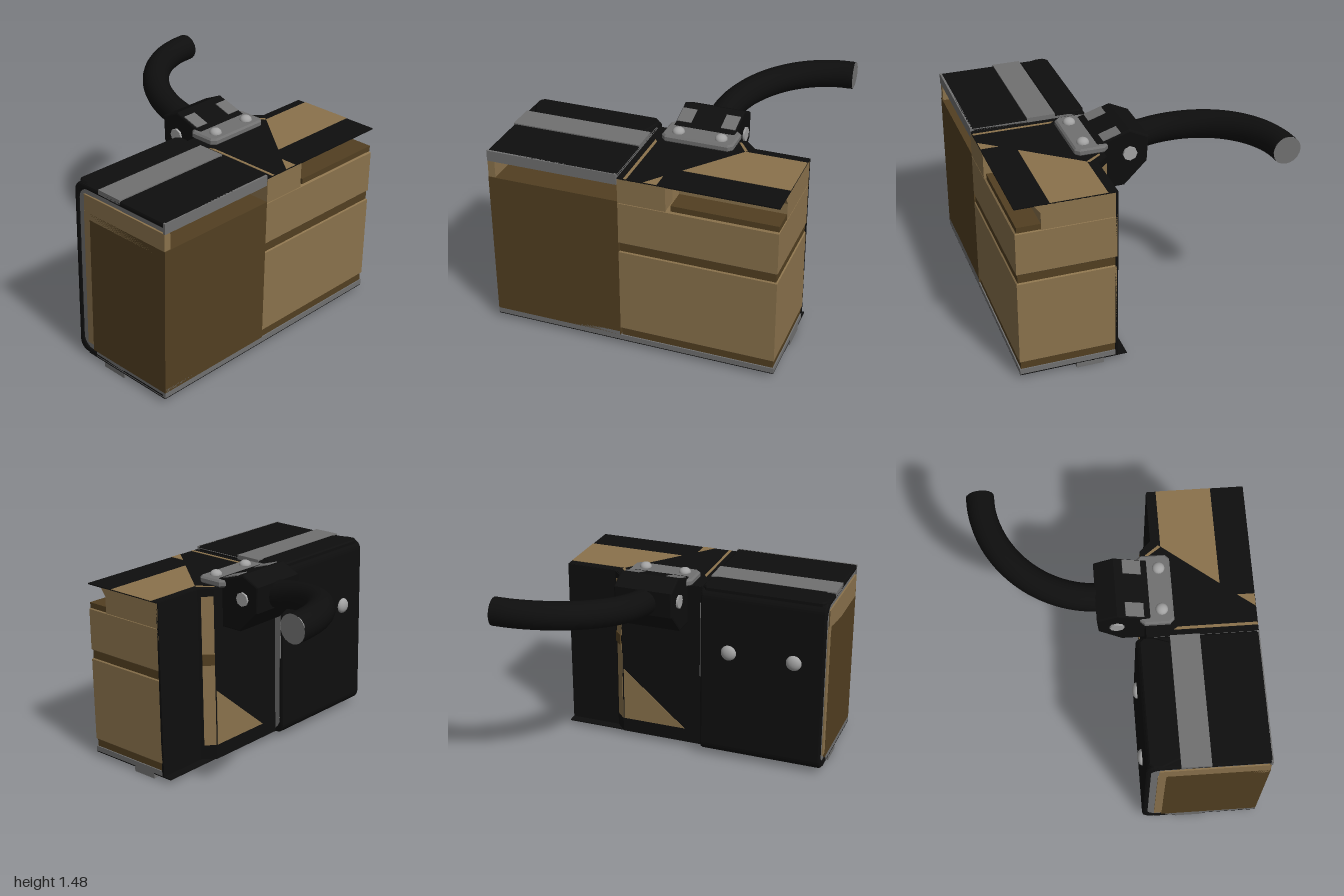
import * as THREE from 'three';

const mat = (name, color, side = THREE.FrontSide) => {
  const m = new THREE.MeshStandardMaterial({ color, side });
  m.name = name;
  return m;
};

export function createModel() {
  const root = new THREE.Group();
  const tan = mat('tan', 0x8a724c);
  const brown = mat('dark brown', 0x523f21);
  const black = mat('black', 0x0e0e0e);
  const grey = mat('grey', 0x707070);
  const light = mat('light metal', 0xa2a2a2);

  const add = (name, geo, material) => {
    const m = new THREE.Mesh(geo, material);
    m.name = name;
    root.add(m);
    return m;
  };
  // box given by its limits
  const box = (name, m, x0, x1, y0, y1, z0, z1) =>
    add(name, new THREE.BoxGeometry(x1 - x0, y1 - y0, z1 - z0), m)
      .position.set((x0 + x1) / 2, (y0 + y1) / 2, (z0 + z1) / 2);
  // footprint [x, z] raised from y0 to y1
  const plan = (name, m, pts, y0, y1, bevel = 0) => {
    const s = new THREE.Shape(pts.map(([x, z]) => new THREE.Vector2(x, -z)));
    const g = new THREE.ExtrudeGeometry(s, {
      depth: y1 - y0 - 2 * bevel, bevelEnabled: bevel > 0, bevelSize: bevel,
      bevelThickness: bevel, bevelOffset: -bevel, bevelSegments: 1,
    });
    g.rotateX(-Math.PI / 2).translate(0, y0 + bevel, 0);
    return add(name, g, m);
  };
  // side profile [z, y] swept from x0 to x1
  const side = (name, m, pts, x0, x1, bevel = 0) => {
    const s = new THREE.Shape(pts.map(([z, y]) => new THREE.Vector2(-z, y)));
    const g = new THREE.ExtrudeGeometry(s, {
      depth: x1 - x0 - 2 * bevel, bevelEnabled: bevel > 0, bevelSize: bevel,
      bevelThickness: bevel, bevelOffset: -bevel, bevelSegments: 2,
    });
    g.rotateY(Math.PI / 2).translate(x0 + bevel, 0, 0);
    return add(name, g, m);
  };
  // rounded C outline, open toward +z
  const cOutline = (back, low, high, r) => {
    const pts = [];
    const arc = (cy, a0) => {
      for (let i = 0; i <= 6; i++) {
        const a = a0 + (i / 6) * Math.PI / 2;
        pts.push([back + r - r * Math.sin(a), cy + r * Math.cos(a)]);
      }
    };
    arc(high - r, 0);
    arc(low + r, Math.PI / 2);
    return pts;
  };
  const cShell = (name, m, back, low, high, t, r, front, x0, x1, bevel) => {
    const outer = cOutline(back, low, high, r);
    const inner = cOutline(back + t, low + t, high - t, Math.max(r - t, 0.03) + 0.05).reverse();
    side(name, m, [[front, high], ...outer, [front, low], [front, low + t], ...inner, [front, high - t]], x0, x1, bevel);
  };

  // right-hand body: brown core with two tan panels and a stepped front edge
  const foot = (d, x1 = 1) => [
    [-0.08 + d, 0.21 + d], [0.55, 0.21 + d], [0.62, 0.29 + d],
    [x1 - d, 0.29 + d], [x1 - d, 0.96 - d], [-0.08 + d, 0.96 - d],
  ];
  plan('bodyCore', brown, foot(0.008), 0.08, 1.12);
  plan('lowerPanel', tan, foot(0), 0.125, 0.76, 0.015);
  plan('upperPanel', tan, foot(0), 0.81, 1.125, 0.01);
  plan('upperStep', tan, [
    [-0.08, 0.21], [0.55, 0.21], [0.62, 0.29], [1, 0.29],
    [1, 0.79], [0.28, 0.79], [0.25, 0.83], [0.25, 0.96], [-0.08, 0.96],
  ], 1.12, 1.296);
  side('stepChamfer', tan, [[0.79, 1.24], [0.79, 1.296], [0.83, 1.296]], 0.25, 1);
  box('stepGroove', brown, 0.28, 0.998, 1.125, 1.165, 0.78, 0.95);

  // black top sheet with tan markings
  plan('topSheet', black, foot(0), 1.294, 1.302);
  const marks = [
    [[0.28, 0.73], [0.58, 0.35], [1, 0.35], [1, 0.73]],
    [[0.1, 0.958], [0.19, 0.84], [0.19, 0.958]],
    [[-0.036, 0.39], [-0.016, 0.42], [-0.016, 0.958], [-0.036, 0.958]],
    [[0.5, 0.24], [0.52, 0.24], [0.59, 0.335], [0.575, 0.35]],
  ];
  for (const p of marks) plan('topMarking', tan, p, 1.301, 1.305);

  // black back cover following the stepped footprint
  plan('backCover', black, [
    [-0.1, 0.205], [0.55, 0.205], [0.625, 0.283], [1, 0.283],
    [1, 0.3], [0.61, 0.3], [0.54, 0.225], [-0.1, 0.225],
  ], 0.04, 1.3);
  // tan strip on the slanted corner, broken by a dark clip
  const corner = [[0.553, 0.203], [0.613, 0.265], [0.607, 0.272], [0.547, 0.21]];
  plan('cornerStripLower', tan, corner, 0.15, 0.76);
  plan('cornerStripUpper', tan, corner, 0.83, 1.25);
  plan('cornerClip', brown, corner.map(([x, z]) => [x + 0.008, z - 0.008]), 0.755, 0.835);
  // triangular marking on the back
  const tri = new THREE.ExtrudeGeometry(new THREE.Shape([
    new THREE.Vector2(0.54, 0.15), new THREE.Vector2(0.54, 0.56), new THREE.Vector2(0.06, 0.15),
  ]), { depth: 0.006, bevelEnabled: false });
  add('backMarking', tri, tan).position.z = 0.201;

  // left-hand block, its wrapping shell and lining
  box('leftBlock', brown, -1, -0.08, 0.08, 1.13, 0.27, 0.96);
  box('leftBlockEdge', tan, -0.999, -0.09, 0.12, 1.13, 0.215, 0.275);
  plan('leftCornerTab', tan, [[-1, 0.22], [-0.95, 0.26], [-0.95, 0.955], [-1, 0.955]], 1.08, 1.252);
  cShell('shell', black, 0.13, 0.035, 1.325, 0.04, 0.07, 0.952, -1, -0.085, 0.015);
  cShell('shellLining', grey, 0.165, 0.045, 1.315, 0.06, 0.1, 0.96, -0.99, -0.085, 0);
  box('frontLip', grey, -1, -0.085, 1.25, 1.325, 0.945, 0.96);
  box('topBand', grey, -1, -0.085, 1.3, 1.333, 0.36, 0.56);
  plan('topCap', black, [
    [-0.96, 0.15], [-0.12, 0.15], [-0.09, 0.18], [-0.09, 0.24], [-0.13, 0.36],
    [-0.94, 0.36], [-0.99, 0.24], [-0.99, 0.18],
  ], 1.29, 1.335, 0.01);
  box('backStrip', grey, -0.09, -0.078, 0.63, 1.2, 0.15, 0.172);

  // underside
  box('basePlate', grey, -1, 1, 0.042, 0.08, 0.3, 0.96);
  box('baseSheet', black, -1, 1, 0.035, 0.043, 0.22, 0.958);
  box('baseRail', grey, -1, 1, 0, 0.06, 0.38, 0.57);

  // domed bolt heads
  const bolt = (x, y, z, r, sx, sy, sz) => {
    const b = add('bolt', new THREE.SphereGeometry(r, 16, 10), light);
    b.position.set(x, y, z);
    b.scale.set(sx, sy, sz);
  };
  for (const x of [-0.78, -0.3]) bolt(x, 0.86, 0.13, 0.057, 1, 1, 0.6);

  // hinge plate
  plan('hingePlate', grey, [
    [0.03, 0.17], [0.47, 0.17], [0.5, 0.2], [0.5, 0.37], [0.47, 0.4], [0.03, 0.4], [0, 0.37], [0, 0.2],
  ], 1.3, 1.35, 0.012);
  for (const x of [0.1, 0.4]) bolt(x, 1.35, 0.32, 0.043, 1, 0.8, 1);

  // hinge block with pads and pins
  side('hingeBlock', black, [
    [0.21, 1.01], [0.05, 1.01], [-0.11, 1.17], [-0.12, 1.355], [0.015, 1.42], [0.17, 1.37], [0.24, 1.352], [0.24, 1.3], [0.21, 1.3],
  ], 0.035, 0.465, 0.012);
  for (const x of [0.095, 0.405]) {
    const pad = add('hingePad', new THREE.BoxGeometry(0.1, 0.012, 0.13), grey);
    pad.position.set(x, 1.381, 0.135);
    pad.rotation.x = 0.31;
  }
  for (const x of [0.03, 0.47]) {
    const pin = add('hingePin', new THREE.CylinderGeometry(0.05, 0.05, 0.02, 8), light);
    pin.position.set(x, 1.25, 0.015);
    pin.rotation.z = Math.PI / 2;
  }

  // curved handle with a flat end
  const path = [new THREE.Vector3(0.25, 1.25, 0)];
  for (let i = 0; i <= 10; i++) {
    const a = (i / 10) * Math.PI / 2, s = Math.sin(a);
    path.push(new THREE.Vector3(1 - 0.75 * Math.cos(a), 1.265 + 0.12 * s, -0.13 - 0.735 * s));
  }
  const curve = new THREE.CatmullRomCurve3(path);
  add('handle', new THREE.TubeGeometry(curve, 48, 0.097, 20), black);
  const cap = add('handleEnd', new THREE.CircleGeometry(0.097, 20), grey);
  cap.position.copy(path[path.length - 1]);
  cap.rotation.y = Math.PI / 2;

  return root;
}
